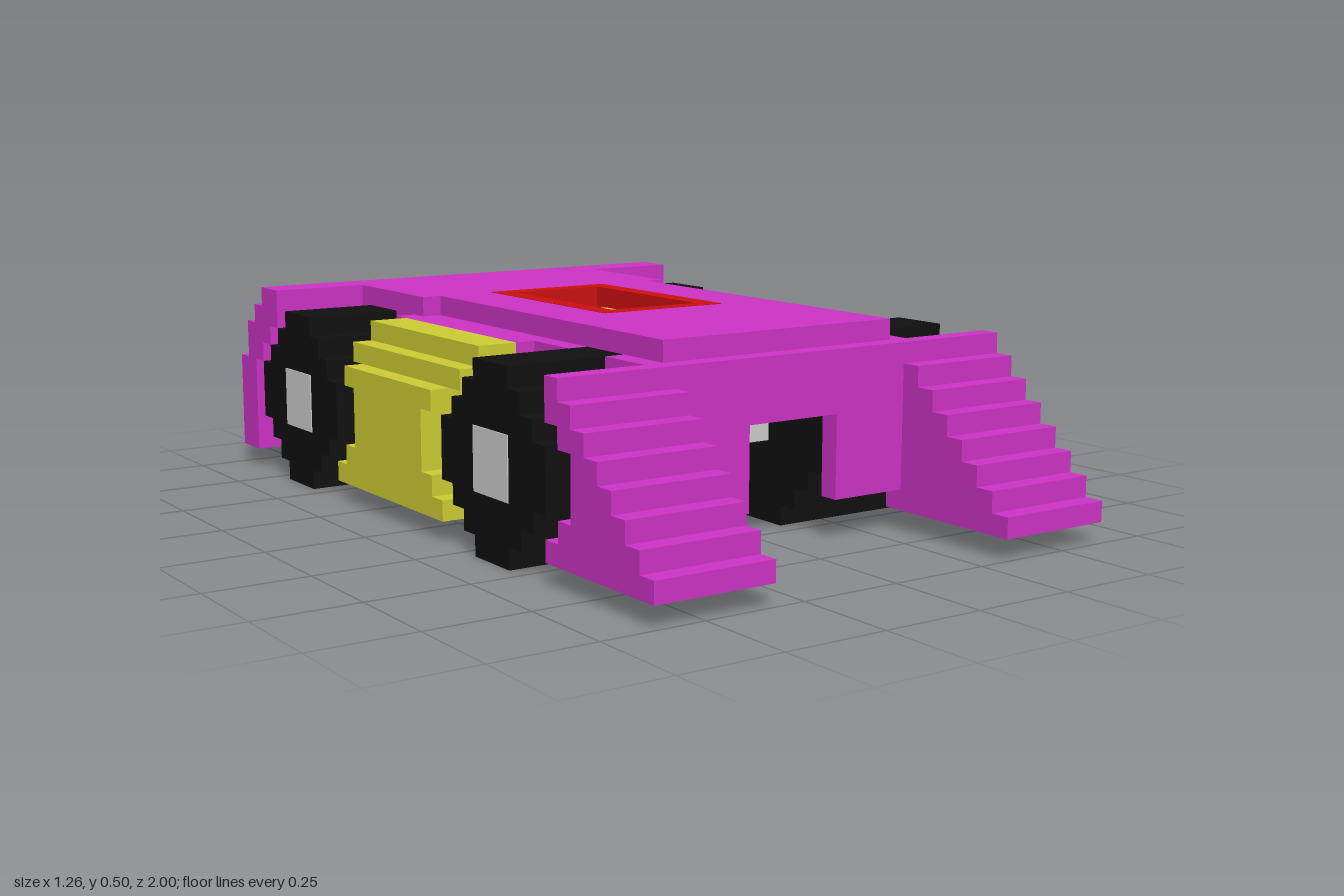
import * as THREE from 'three';

export function createModel() {
  const model = new THREE.Group();
  const mat = (name, color) => {
    const m = new THREE.MeshStandardMaterial({ color });
    m.name = name;
    return m;
  };
  const magenta = mat('magenta', 0xcc33c4);
  const yellow = mat('yellow', 0xcccc33);
  const black = mat('black', 0x101010);
  const silver = mat('silver', 0xcccccc);
  const red = mat('red', 0xcc1010);

  // Box given by its limits on each axis
  function box(parent, name, m, x0, x1, y0, y1, z0, z1) {
    const mesh = new THREE.Mesh(new THREE.BoxGeometry(x1 - x0, y1 - y0, z1 - z0), m);
    mesh.position.set((x0 + x1) / 2, (y0 + y1) / 2, (z0 + z1) / 2);
    mesh.name = name;
    parent.add(mesh);
  }
  // The same box on both sides
  function pair(parent, name, m, x0, x1, ...rest) {
    box(parent, name, m, x0, x1, ...rest);
    box(parent, name, m, -x1, -x0, ...rest);
  }
  function group(name) {
    const g = new THREE.Group();
    g.name = name;
    model.add(g);
    return g;
  }

  // Hull around the cockpit
  const hull = group('hull');
  box(hull, 'hullBase', magenta, -0.425, 0.425, 0.05, 0.2, -0.4, 0.15);
  pair(hull, 'hullSide', magenta, 0.125, 0.425, 0.2, 0.45, -0.4, 0.15);
  box(hull, 'hullBack', magenta, -0.125, 0.125, 0.2, 0.45, -0.4, -0.35);
  box(hull, 'hullFront', magenta, -0.125, 0.125, 0.3, 0.45, 0.1, 0.15);

  // Deck
  const deck = group('deck');
  box(deck, 'frontDeck', magenta, -0.325, 0.325, 0.45, 0.5, 0.14, 0.6);
  pair(deck, 'sideDeck', magenta, 0.175, 0.325, 0.45, 0.5, -0.4, 0.14);
  box(deck, 'rearDeck', magenta, -0.375, 0.375, 0.45, 0.5, -0.75, -0.4);
  pair(deck, 'deckCorner', magenta, 0.375, 0.425, 0.4, 0.45, -0.45, -0.4);

  // Cockpit: rim, lining, floor, seat and steering wheel
  const cockpit = group('cockpit');
  pair(cockpit, 'rimSide', red, 0.125, 0.175, 0.45, 0.501, -0.395, 0.14);
  box(cockpit, 'rimBack', red, -0.17, 0.17, 0.45, 0.501, -0.4, -0.35);
  box(cockpit, 'rimFront', red, -0.17, 0.17, 0.45, 0.501, 0.1, 0.145);
  box(cockpit, 'floor', red, -0.125, 0.125, 0.2, 0.25, -0.35, 0.149);
  pair(cockpit, 'liningSide', red, 0.12, 0.125, 0.25, 0.45, -0.35, 0.1);
  box(cockpit, 'liningBack', red, -0.125, 0.125, 0.25, 0.45, -0.35, -0.345);
  box(cockpit, 'liningFront', red, -0.125, 0.125, 0.3, 0.45, 0.095, 0.1);
  box(cockpit, 'seat', yellow, -0.12, 0.12, 0.25, 0.3, -0.25, -0.05);
  box(cockpit, 'seatBack', yellow, -0.12, 0.12, 0.25, 0.45, -0.3, -0.25);
  box(cockpit, 'steeringWheel', yellow, -0.075, 0.075, 0.4, 0.45, 0, 0.05);

  // Front panel with a notch in the middle
  const front = group('frontPanel');
  box(front, 'panelTop', magenta, -0.325, 0.325, 0.3, 0.45, 0.6, 0.65);
  pair(front, 'panelSide', magenta, 0.125, 0.325, 0.1, 0.3, 0.6, 0.65);

  // Stepped front fenders, hollowed behind the wheel
  const fenders = group('frontFenders');
  const hollow = [0.6, 0.65, 0.7, 0.7, 0.7, 0.65, 0.6, 0.6];
  hollow.forEach((z0, i) => {
    const y = 0.05 + i * 0.05, z1 = 1 - i * 0.05;
    pair(fenders, 'fenderStep', magenta, 0.375, 0.625, y, y + 0.05, z0, z1);
    pair(fenders, 'fenderInner', magenta, 0.325, 0.375, y, y + 0.05, 0.6, z1);
  });

  // Stepped tail and notched bumper
  const tail = group('tail');
  [[0.45, 0.5, -0.85, -0.75], [0.4, 0.45, -0.9, -0.75],
    [0.35, 0.4, -0.95, -0.8], [0.3, 0.35, -0.95, -0.85]].forEach(([y0, y1, z0, z1]) =>
    box(tail, 'tailStep', magenta, -0.625, 0.625, y0, y1, z0, z1));
  box(tail, 'bumperTop', magenta, -0.625, 0.625, 0.25, 0.3, -1, -0.9);
  pair(tail, 'bumper', magenta, 0.125, 0.625, 0.05, 0.25, -1, -0.9);

  // Side pods, stepped on top and cut back at the wheels
  const pods = group('sidePods');
  [[0.05, 0.1, 0, 0.625], [0.1, 0.15, 0.05, 0.625], [0.15, 0.3, 0.1, 0.625],
    [0.3, 0.35, 0.05, 0.625], [0.35, 0.4, 0, 0.575], [0.4, 0.45, 0, 0.525]]
    .forEach(([y0, y1, cut, x1]) =>
      pair(pods, 'podLayer', yellow, 0.425, x1, y0, y1, -0.4 + cut, 0.15 - cut));
  // Outer lip of the pod at full height of the step below
  pair(pods, 'podLip', yellow, 0.575, 0.625, 0.3, 0.35, -0.35, 0.1);

  // Wheels as stepped discs, with arches, hubs and axles
  const half = [0.075, 0.125, 0.175, 0.225, 0.225, 0.225, 0.175, 0.125, 0.075];
  for (const [label, zc] of [['front', 0.375], ['rear', -0.625]]) {
    const g = group(label + 'Wheels');
    const outline = [];
    half.forEach((w, i) => outline.push([w, i * 0.05], [w, i * 0.05 + 0.05]));
    const shape = new THREE.Shape();
    outline.forEach(([w, y], i) => (i ? shape.lineTo(w, y) : shape.moveTo(w, y)));
    outline.reverse().forEach(([w, y]) => shape.lineTo(-w, y));
    const tyre = new THREE.ExtrudeGeometry(shape, { depth: 0.5, bevelEnabled: false });
    tyre.rotateY(Math.PI / 2);
    for (const x of [0.125, -0.625]) {
      const wheel = new THREE.Mesh(tyre, black);
      wheel.name = label + 'Wheel';
      wheel.position.set(x, 0, zc);
      g.add(wheel);
    }
    pair(g, 'hub', silver, 0.62, 0.628, 0.15, 0.3, zc - 0.075, zc + 0.075);
    box(g, 'axle', silver, -0.125, 0.125, 0.2, 0.25, zc - 0.025, zc + 0.025);
    // Arch corners filling the space between tyre and deck
    for (let i = 6; i < 9; i++) {
      for (const s of [-1, 1]) {
        const a = zc + s * half[i], b = zc + s * 0.225;
        box(g, 'archCorner', magenta, -0.375, 0.375, i * 0.05, i * 0.05 + 0.05,
          Math.min(a, b), Math.max(a, b));
      }
    }
  }

  return model;
}
